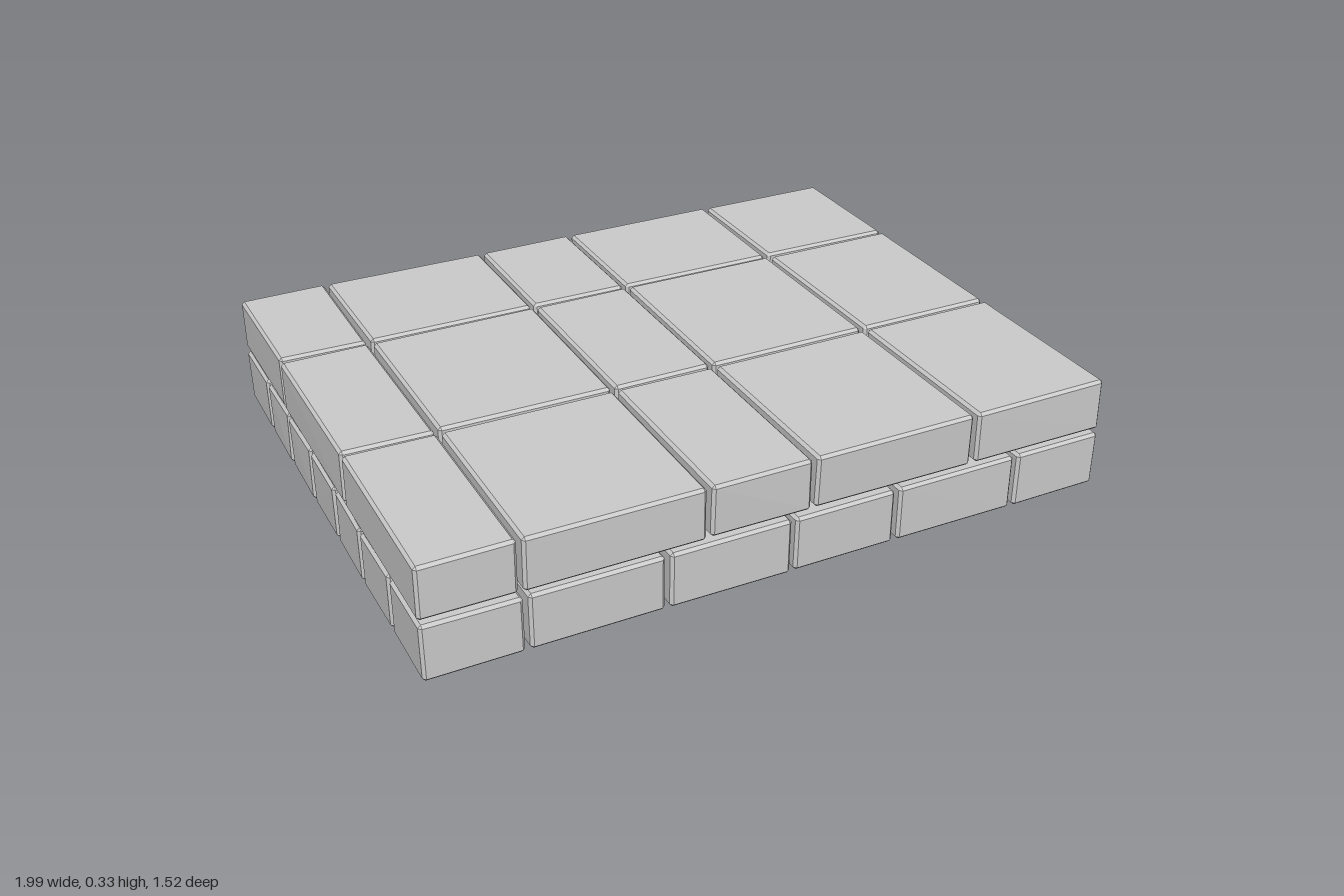
import * as THREE from 'three';
import { ConvexGeometry } from 'three/addons/geometries/ConvexGeometry.js';

const material = new THREE.MeshStandardMaterial({ color: 0xcccccc, flatShading: true });
const GAP = 0.005;     // half the joint between neighbouring stones
const BEVEL = 0.008;   // worn edge
const WOBBLE = 0.003;  // unevenness of the corners

// small seeded generator
let seed = 7;
const wobble = () => {
  seed = (seed * 16807) % 2147483647;
  return (seed / 2147483647 - 0.5) * 2 * WOBBLE;
};

// stone with bevelled, slightly uneven corners; extra points push out a chip
function stone(min, max, extra = []) {
  const points = [...extra];
  for (let corner = 0; corner < 8; corner++) {
    const p = [0, 1, 2].map((axis) => {
      const high = (corner >> axis) & 1;
      const shift = Math.abs(wobble());
      return high ? max[axis] - shift : min[axis] + shift;
    });
    const inward = [0, 1, 2].map((axis) => ((corner >> axis) & 1 ? -BEVEL : BEVEL));
    // one point on each of the three faces meeting at the corner
    for (let face = 0; face < 3; face++) {
      const q = p.map((v, axis) => (axis === face ? v : v + inward[axis]));
      points.push(new THREE.Vector3(...q));
    }
  }
  return new THREE.Mesh(new ConvexGeometry(points), material);
}

// one course of stones between the given joint lines
function course(name, xs, zs, y0, y1, chips = {}) {
  const group = new THREE.Group();
  group.name = name;
  for (let i = 0; i < xs.length - 1; i++) {
    for (let k = 0; k < zs.length - 1; k++) {
      const mesh = stone(
        [xs[i] + GAP, y0, zs[k] + GAP],
        [xs[i + 1] - GAP, y1, zs[k + 1] - GAP],
        chips[`${i},${k}`]
      );
      mesh.name = `${name}Stone_${i}_${k}`;
      group.add(mesh);
    }
  }
  return group;
}

export function createModel() {
  const model = new THREE.Group();
  model.name = 'stoneSlab';

  // lower course of small stones, one with a protruding corner
  model.add(course('lowerCourse',
    [-0.998, -0.725, -0.35, 0.005, 0.315, 0.69, 0.971],
    [-0.76, -0.53, -0.32, -0.108, 0.104, 0.318, 0.54, 0.768],
    0.008, 0.17,
    { '5,3': [new THREE.Vector3(1.0, 0.163, 0.05)] }));

  // upper course of large paving stones
  model.add(course('upperCourse',
    [-0.998, -0.735, -0.237, 0.06, 0.547, 0.969],
    [-0.76, -0.337, 0.213, 0.766],
    0.181, 0.334));

  return model;
}
